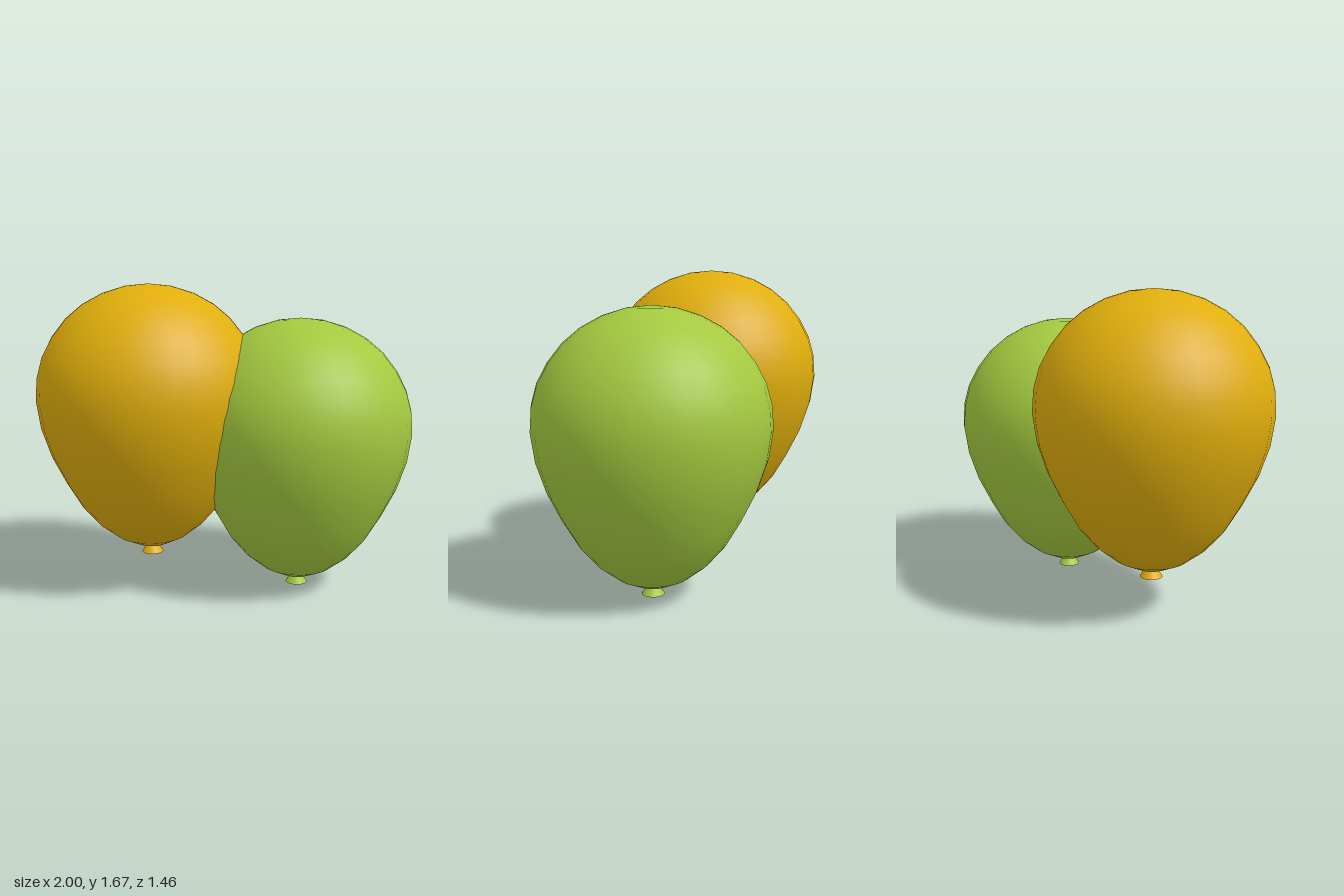
import * as THREE from 'three';

const gold = new THREE.MeshStandardMaterial({ name: 'gold', color: 0xe0ae0c });
const green = new THREE.MeshStandardMaterial({ name: 'green', color: 0xa4c93f });

// Radius and height of the balloon skin, from the neck up to the crown
const PROFILE = [
  [0, 0.05], [0.085, 0.055], [0.195, 0.108], [0.295, 0.187], [0.385, 0.292],
  [0.465, 0.43], [0.538, 0.58], [0.588, 0.735], [0.609, 0.885], [0.6, 1.005],
  [0.57, 1.112], [0.515, 1.215], [0.44, 1.31], [0.35, 1.385], [0.243, 1.443],
  [0.123, 1.48], [0, 1.492],
].map(([r, y]) => new THREE.Vector2(r, y));

function makeBalloon(name, material) {
  const balloon = new THREE.Group();
  balloon.name = name;

  // Inflated body
  const body = new THREE.Mesh(new THREE.LatheGeometry(PROFILE, 32), material);
  body.name = name + 'Body';

  // Flared knot under the neck
  const knot = new THREE.Mesh(new THREE.CylinderGeometry(0.018, 0.06, 0.06, 24), material);
  knot.name = name + 'Knot';
  knot.position.y = 0.03;

  balloon.add(body, knot);
  return balloon;
}

export function createModel() {
  const model = new THREE.Group();
  model.name = 'balloons';

  // Higher balloon in front, lower one behind
  const goldBalloon = makeBalloon('goldBalloon', gold);
  goldBalloon.position.set(-0.391, 0.18, 0.12);
  const greenBalloon = makeBalloon('greenBalloon', green);
  greenBalloon.position.set(0.391, 0, -0.12);

  model.add(goldBalloon, greenBalloon);
  return model;
}
